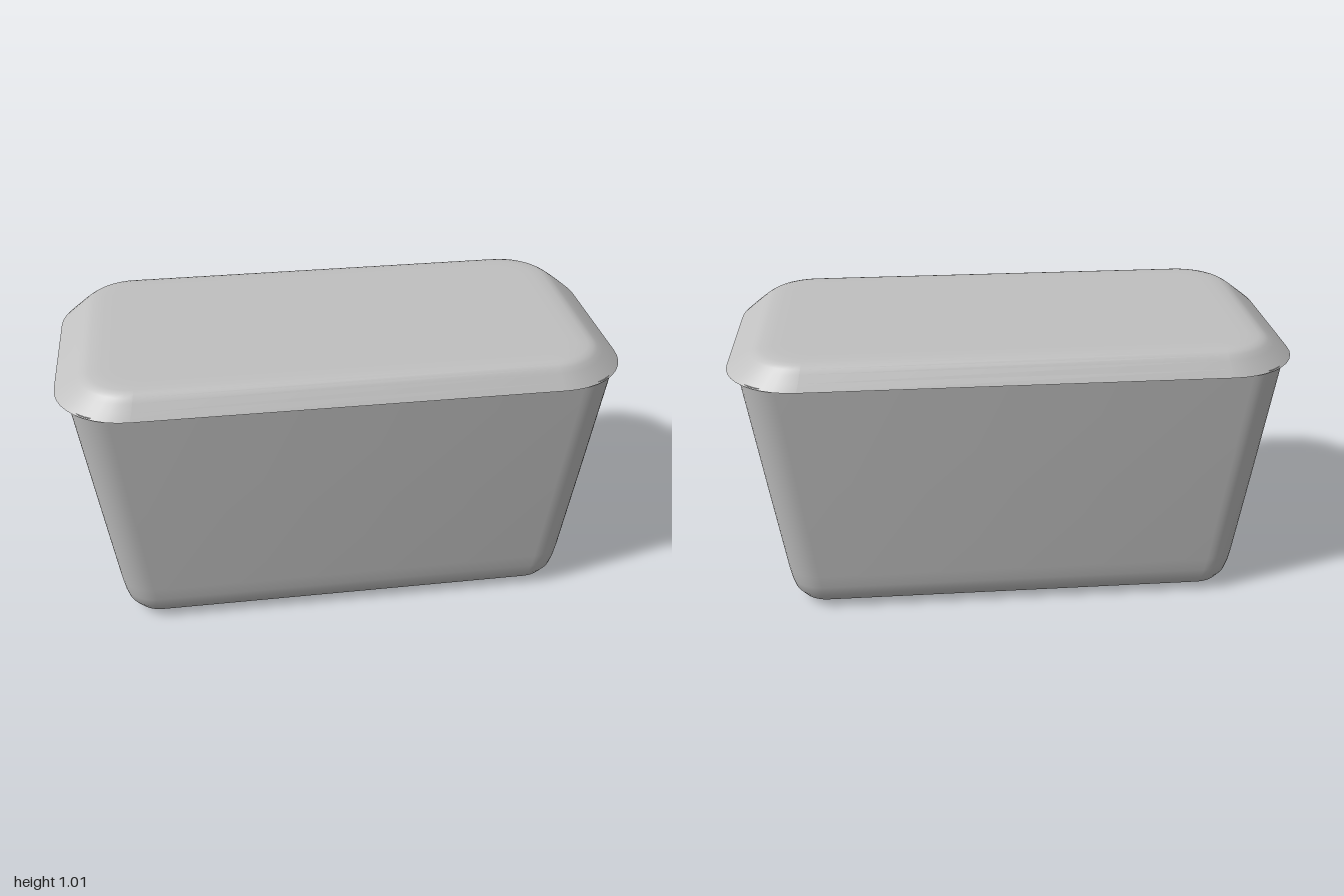
import * as THREE from 'three';
import { toCreasedNormals } from 'three/addons/utils/BufferGeometryUtils.js';

const STEPS = 10; // segments per rounded corner

// Rounded rectangle outline: half width, half depth, corner radius
function outline(hw, hd, r) {
  const points = [];
  for (let c = 0; c < 4; c++) {
    const sx = c === 0 || c === 3 ? 1 : -1;
    const sz = c < 2 ? 1 : -1;
    for (let i = 0; i <= STEPS; i++) {
      const a = (c + i / STEPS) * Math.PI / 2;
      points.push([sx * (hw - r) + r * Math.cos(a), sz * (hd - r) + r * Math.sin(a)]);
    }
  }
  return points;
}

// Skin through rings [y, halfWidth, halfDepth, radius] listed upward, with optional flat caps
function loft(rings, capBottom, capTop) {
  const positions = [], index = [];
  const n = 4 * (STEPS + 1);
  for (const [y, hw, hd, r] of rings) {
    for (const [x, z] of outline(hw, hd, r)) positions.push(x, y, z);
  }
  for (let k = 0; k < rings.length - 1; k++) {
    for (let i = 0; i < n; i++) {
      const a = k * n + i, b = k * n + (i + 1) % n;
      index.push(a, a + n, b, b, a + n, b + n);
    }
  }
  const cap = (ring, up) => {
    const centre = positions.length / 3;
    positions.push(0, rings[ring][0], 0);
    for (let i = 0; i < n; i++) {
      const a = ring * n + i, b = ring * n + (i + 1) % n;
      if (up) index.push(centre, b, a);
      else index.push(centre, a, b);
    }
  };
  if (capBottom) cap(0, false);
  if (capTop) cap(rings.length - 1, true);
  const geometry = new THREE.BufferGeometry();
  geometry.setAttribute('position', new THREE.Float32BufferAttribute(positions, 3));
  geometry.setIndex(index);
  return toCreasedNormals(geometry, 0.75);
}

export function createModel() {
  const model = new THREE.Group();
  model.name = 'liddedTub';
  const plastic = new THREE.MeshStandardMaterial({ color: 0xc0c0c0 });
  plastic.name = 'grey plastic';

  const add = (name, geometry) => {
    const mesh = new THREE.Mesh(geometry, plastic);
    mesh.name = name;
    model.add(mesh);
  };

  // Tapered body with a softly rounded base
  add('tubBody', loft([
    [0, 0.70, 0.29, 0.06],
    [0.003, 0.735, 0.325, 0.075],
    [0.012, 0.775, 0.363, 0.09],
    [0.03, 0.805, 0.392, 0.105],
    [0.06, 0.826, 0.41, 0.115],
    [0.1, 0.837, 0.419, 0.12],
    [0.15, 0.845, 0.423, 0.12],
    [0.5, 0.89, 0.446, 0.125],
    [0.935, 0.945, 0.473, 0.13],
  ], true, true));

  // Lid with sloping sides, a soft upper edge and a flat top
  add('lid', loft([
    [0.93, 1.0, 0.5, 0.26],
    [0.955, 0.968, 0.482, 0.235],
    [0.98, 0.933, 0.464, 0.205],
    [0.995, 0.91, 0.453, 0.185],
    [1.004, 0.893, 0.442, 0.17],
    [1.009, 0.872, 0.425, 0.15],
    [1.012, 0.835, 0.395, 0.125],
    [1.012, 0.79, 0.35, 0.1],
  ], false, true));

  // Flat lip under the lid's rim
  add('lidUnderside', loft([
    [0.93, 0.93, 0.46, 0.2],
    [0.93, 1.0, 0.5, 0.26],
  ], false, false));

  return model;
}
